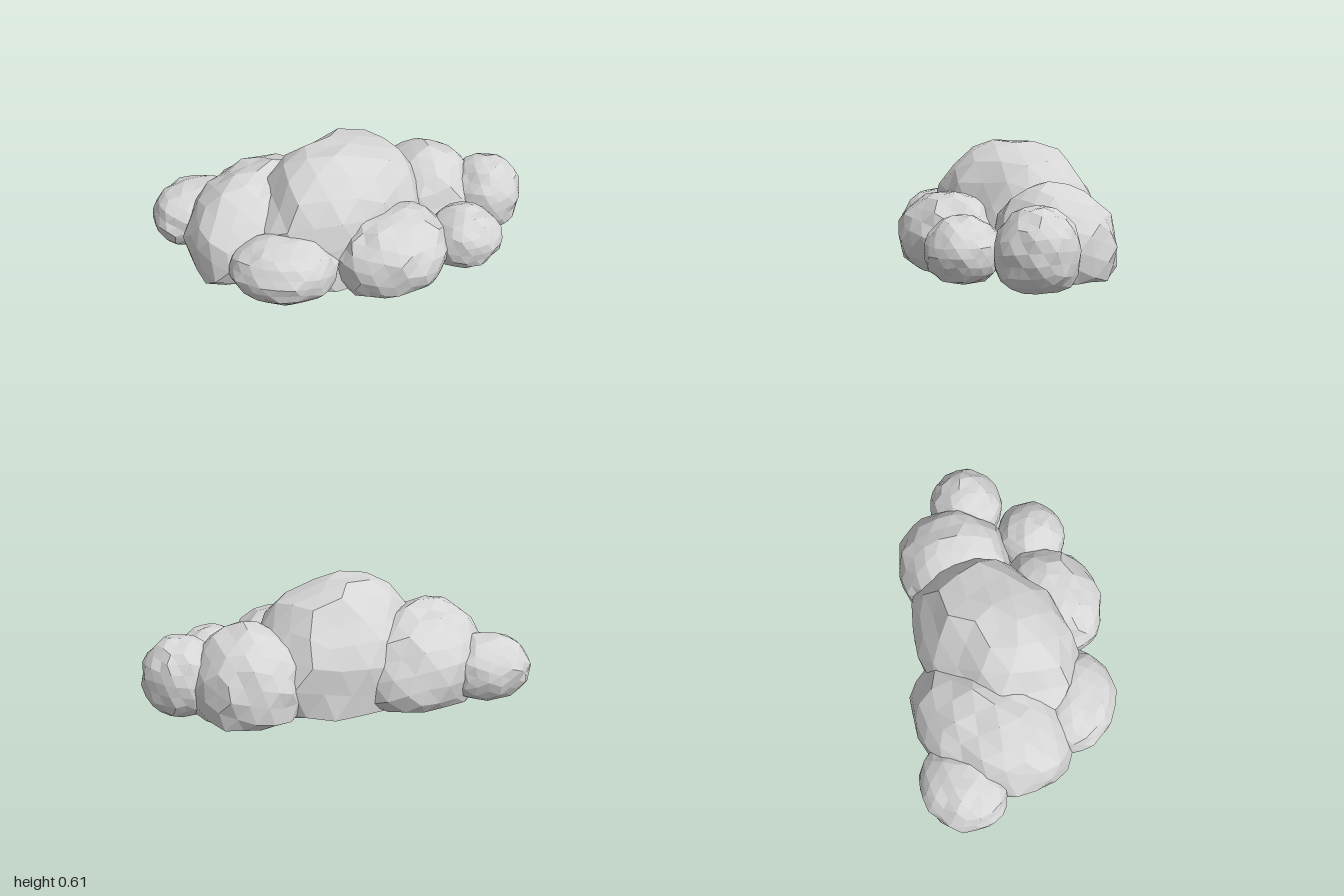
import * as THREE from 'three';
import { mergeVertices } from 'three/addons/utils/BufferGeometryUtils.js';

// Small seeded random generator
function seeded(seed) {
  let s = seed * 7919 + 17;
  return () => (s = (s * 16807) % 2147483647) / 2147483647;
}

// Faceted, lumpy ellipsoid turned by yaw and flattened where it meets the ground
function puffGeometry([cx, cy, cz], [rx, ry, rz], yaw, seed) {
  const rand = seeded(seed);
  for (let i = 0; i < 5; i++) rand();
  const ico = new THREE.IcosahedronGeometry(1, 3);
  ico.deleteAttribute('normal');
  ico.deleteAttribute('uv');
  const geometry = mergeVertices(ico, 1e-4);
  geometry.rotateX(rand() * 3).rotateY(rand() * 3);
  const p = geometry.attributes.position;
  for (let i = 0; i < p.count; i++) {
    const k = 0.95 + 0.09 * rand();
    p.setXYZ(i, p.getX(i) * rx * k, Math.max(-cy, p.getY(i) * ry * k), p.getZ(i) * rz * k);
  }
  geometry.rotateY(yaw).translate(cx, cy, cz);
  geometry.computeVertexNormals();
  return geometry;
}

export function createModel() {
  const group = new THREE.Group();
  group.name = 'cloud';
  const cloudGrey = new THREE.MeshStandardMaterial({ color: 0xd6d6d6, flatShading: true });
  cloudGrey.name = 'cloudGrey';

  // Each puff: name, centre, radii, yaw
  const puffs = [
    ['mainPuff', [-0.035, 0.12, -0.05], [0.53, 0.5, 0.405], 0.52],
    ['backRightPuff', [-0.46, 0.12, -0.145], [0.46, 0.35, 0.345], 0.8],
    ['outerRightPuff', [-0.76, 0.14, -0.335], [0.25, 0.175, 0.22], 0.5],
    ['frontRightPuff', [-0.405, 0.15, 0.305], [0.28, 0.17, 0.225], -0.3],
    ['frontPuff', [0.165, 0.14, 0.295], [0.32, 0.24, 0.26], 0.35],
    ['frontLeftPuff', [0.565, 0.14, 0.25], [0.2, 0.17, 0.19], 0],
    ['outerLeftPuff', [0.795, 0.17, -0.08], [0.2, 0.22, 0.205], 0],
    ['backLeftPuff', [0.475, 0.13, -0.2], [0.3, 0.32, 0.315], 0],
  ];
  puffs.forEach(([name, centre, radii, yaw], i) => {
    const mesh = new THREE.Mesh(puffGeometry(centre, radii, yaw, i + 1), cloudGrey);
    mesh.name = name;
    group.add(mesh);
  });
  return group;
}
